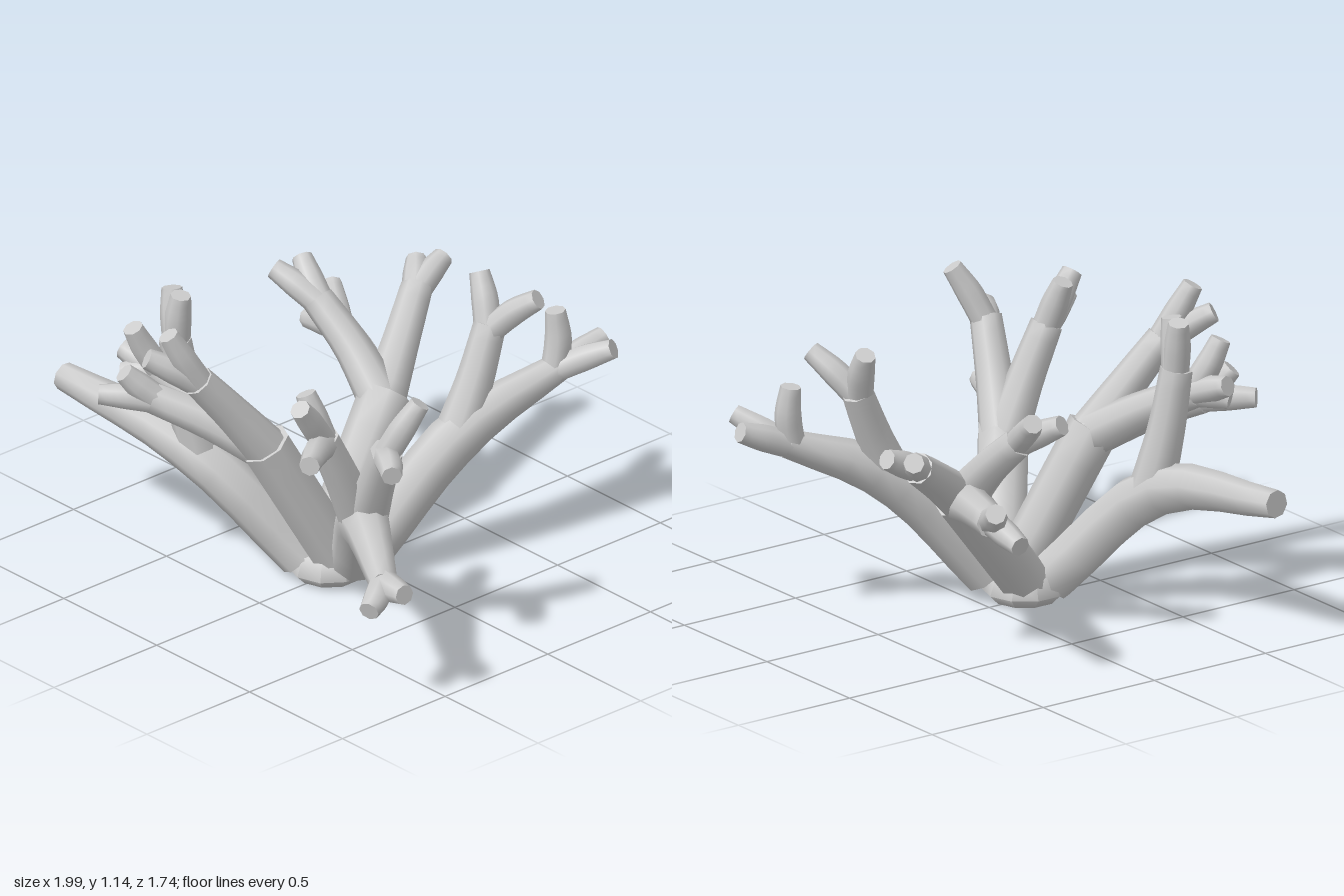
import * as THREE from 'three';
import { toCreasedNormals } from 'three/addons/utils/BufferGeometryUtils.js';

const SIDES = 8;
const material = new THREE.MeshStandardMaterial({ color: 0xcccccc });
const vec = (p) => new THREE.Vector3(...p);
const between = (a, b, t) => a.clone().lerp(b, t);

// Tapered, blunt-ended limb through a few points, with one radius per point
function limb(name, points, radii) {
  const curve = new THREE.CatmullRomCurve3(points, false, 'centripetal');
  const spans = points.length - 1;
  const n = spans * 4 + 2;
  const geometry = new THREE.TubeGeometry(curve, n, 1, SIDES, false);
  const pos = geometry.attributes.position;
  const v = new THREE.Vector3();
  for (let i = 0; i <= n; i++) {
    const oldCentre = curve.getPointAt(i / n);
    const u = THREE.MathUtils.clamp((i - 1) / (n - 2), 0, 1);
    const centre = curve.getPointAt(u);
    const t = curve.getUtoTmapping(u) * spans;
    const k = Math.min(Math.floor(t), spans - 1);
    // First and last rings collapse to a point, which closes the ends
    const r = i === 0 || i === n ? 0 : THREE.MathUtils.lerp(radii[k], radii[k + 1], t - k);
    for (let j = 0; j <= SIDES; j++) {
      const id = i * (SIDES + 1) + j;
      v.fromBufferAttribute(pos, id).sub(oldCentre).multiplyScalar(r).add(centre);
      pos.setXYZ(id, v.x, v.y, v.z);
    }
  }
  const mesh = new THREE.Mesh(toCreasedNormals(geometry, 0.95), material);
  mesh.name = name;
  return mesh;
}

// Stubby twigs that split from a limb running from one point to its end
function addTwigs(group, from, end, tips) {
  const start = between(end, from, 0.03 / end.distanceTo(from));
  for (const p of tips) {
    const tip = vec(p);
    group.add(limb('twig', [start, between(end, tip, 0.5), tip], [0.05, 0.05, 0.038]));
  }
}

// Trunk from root to fork, which may bend on into a runner
function trunk(name, root, fork, runner, runnerTips = []) {
  const group = new THREE.Group();
  group.name = name;
  const path = [vec(root), vec(fork)];
  if (runner) path.push(vec(runner));
  group.add(limb('trunk', path, [0.095, 0.097, 0.052]));
  if (runner) addTwigs(group, path[1], path[2], runnerTips);

  // Branch that leaves the trunk just under its fork
  const branch = (endPoint, ...tips) => {
    const end = vec(endPoint);
    const start = between(path[1], path[0], 0.06);
    const middle = between(path[1], end, 0.5);
    group.add(limb('branch', [start, middle, end], [0.085, 0.069, 0.06]));
    addTwigs(group, middle, end, tips);
  };
  return { group, branch };
}

// Rounded foot that joins the trunks
function createFoot() {
  const profile = [[0, 0], [0.12, 0.005], [0.155, 0.04], [0.13, 0.11], [0, 0.14]]
    .map(([x, y]) => new THREE.Vector2(x, y));
  const foot = new THREE.Mesh(
    toCreasedNormals(new THREE.LatheGeometry(profile, 10), 1.2), material);
  foot.name = 'foot';
  foot.position.z = 0.16;
  return foot;
}

export function createModel() {
  const right = trunk('rightCluster', [-0.06, 0.08, 0.23], [-0.39, 0.46, 0.46], [-1, 0.56, 0.55]);
  right.branch([-0.42, 0.92, 0.53], [-0.46, 1.11, 0.51], [-0.39, 1.11, 0.53]);

  const front = trunk('frontCluster', [0.05, 0.12, 0.18], [-0.04, 0.61, 0.44]);
  front.branch([-0.12, 0.92, 0.69], [-0.17, 1.12, 0.79], [-0.23, 1.02, 0.84]);
  front.branch([-0.36, 0.76, 0.69], [-0.5, 0.77, 0.83], [-0.42, 0.87, 0.78]);
  front.branch([-0.43, 0.82, 0.61],
    [-0.57, 0.87, 0.65], [-0.53, 0.8, 0.69], [-0.46, 1.01, 0.7]);

  const left = trunk('leftCluster', [0.16, 0.13, 0.17], [0.43, 0.45, 0.38],
    [0.85, 0.45, 0.66], [[0.98, 0.465, 0.68], [0.91, 0.41, 0.79]]);
  left.branch([0.42, 0.85, 0.57], [0.44, 1.02, 0.7], [0.36, 1.02, 0.6], [0.58, 0.87, 0.78]);
  left.branch([0.64, 0.84, 0.46], [0.71, 1.03, 0.36], [0.78, 0.83, 0.56]);

  const backLeft = trunk('backLeftCluster', [0.09, 0.1, 0.06], [0.21, 0.5, -0.29],
    [0.32, 0.68, -0.68], [[0.35, 0.75, -0.86], [0.48, 0.77, -0.79], [0.3, 0.9, -0.67]]);
  backLeft.branch([0.18, 0.87, -0.46], [0.09, 1.04, -0.49], [0.34, 1, -0.55]);

  const backRight = trunk('backRightCluster', [-0.04, 0.09, 0.13], [-0.16, 0.53, -0.26]);
  backRight.branch([-0.37, 0.76, -0.6], [-0.46, 0.82, -0.68], [-0.39, 0.83, -0.75]);
  backRight.branch([-0.6, 0.58, -0.43], [-0.74, 0.67, -0.52], [-0.78, 0.54, -0.44]);
  backRight.branch([-0.47, 0.81, -0.21], [-0.6, 0.92, -0.25], [-0.63, 0.9, -0.14]);

  const model = new THREE.Group();
  model.name = 'branchingCoral';
  model.add(createFoot());
  for (const { group } of [right, front, left, backLeft, backRight]) model.add(group);
  return model;
}
